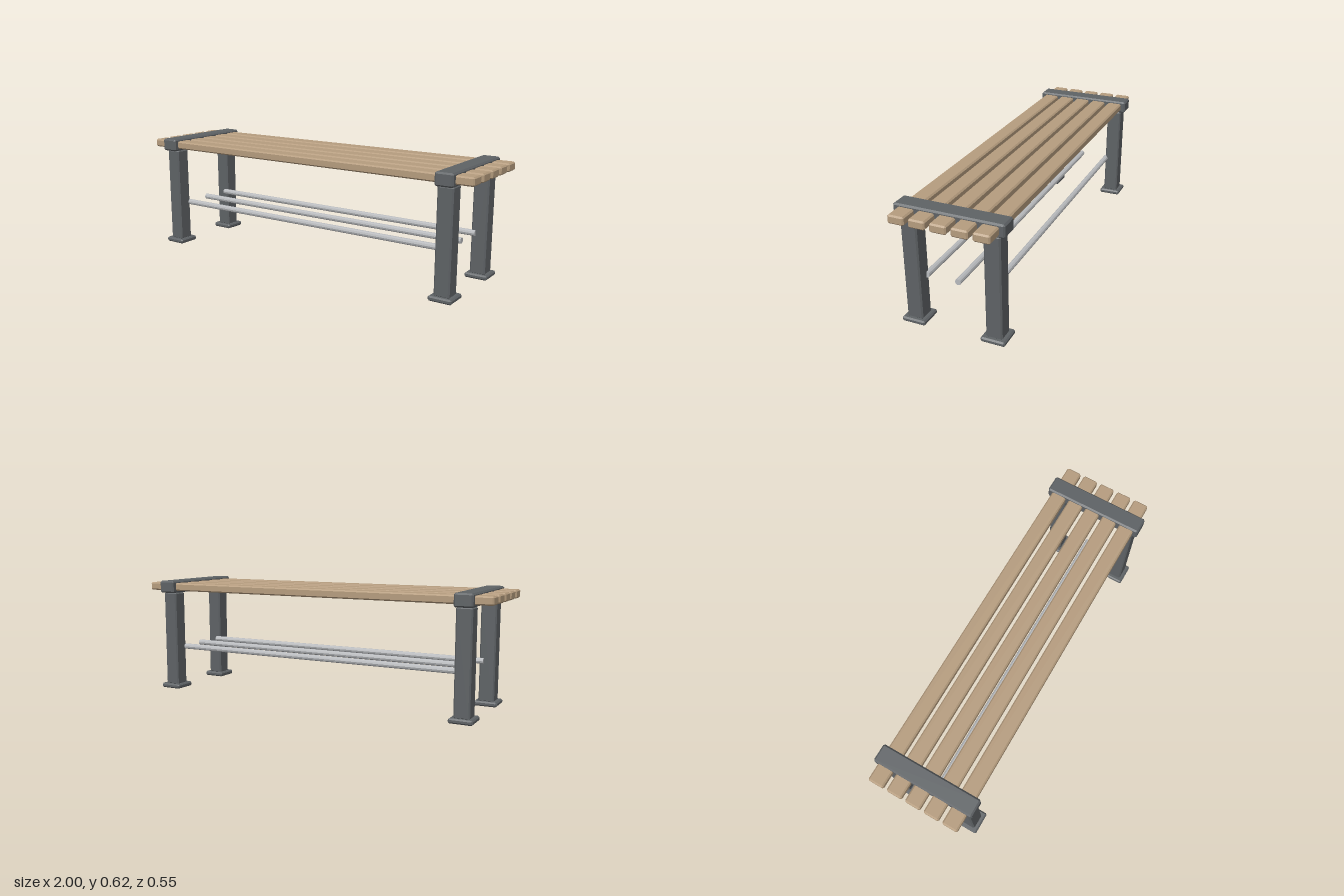
import * as THREE from 'three';
import { ConvexGeometry } from 'three/addons/geometries/ConvexGeometry.js';

// Box with every edge cut at 45 degrees
function chamferBox(w, h, d, c) {
  const points = [];
  for (const x of [-w / 2, w / 2]) for (const y of [-h / 2, h / 2]) for (const z of [-d / 2, d / 2]) {
    const cx = Math.sign(x) * c, cy = Math.sign(y) * c, cz = Math.sign(z) * c;
    points.push(
      new THREE.Vector3(x, y - cy, z - cz),
      new THREE.Vector3(x - cx, y, z - cz),
      new THREE.Vector3(x - cx, y - cy, z)
    );
  }
  return new ConvexGeometry(points);
}

export function createModel() {
  const bench = new THREE.Group();
  bench.name = 'bench';

  const material = (name, color) => {
    const m = new THREE.MeshStandardMaterial({ color, flatShading: true });
    m.name = name;
    return m;
  };
  const wood = material('wood', 0xb59c7e);
  const darkMetal = material('darkMetal', 0x5e6265);
  const steel = material('steel', 0xb8babd);

  const add = (name, geometry, mat, x, y, z) => {
    const mesh = new THREE.Mesh(geometry, mat);
    mesh.name = name;
    mesh.position.set(x, y, z);
    bench.add(mesh);
  };

  // Seat slats
  const slat = chamferBox(2, 0.043, 0.082, 0.007);
  for (let i = -2; i <= 2; i++) add('seatSlat', slat, wood, 0, 0.5835, i * 0.103);

  // End frames: a cross beam on two posts with foot plates
  const beam = chamferBox(0.094, 0.067, 0.546, 0.008);
  const post = chamferBox(0.082, 0.53, 0.082, 0.007);
  const foot = chamferBox(0.122, 0.025, 0.122, 0.007);
  for (const side of [-1, 1]) {
    const x = side * 0.863;
    add('crossBeam', beam, darkMetal, x * 1.002, 0.5835, 0);
    for (const end of [-1, 1]) {
      add('post', post, darkMetal, x, 0.285, end * 0.206);
      add('footPlate', foot, darkMetal, x, 0.0125, end * 0.206);
    }
  }

  // Low rails running between the frames
  const rail = new THREE.CylinderGeometry(0.0155, 0.0155, 1.69, 10).rotateZ(Math.PI / 2);
  for (const z of [-0.165, 0, 0.165]) add('lowRail', rail, steel, 0, 0.235, z);

  return bench;
}
